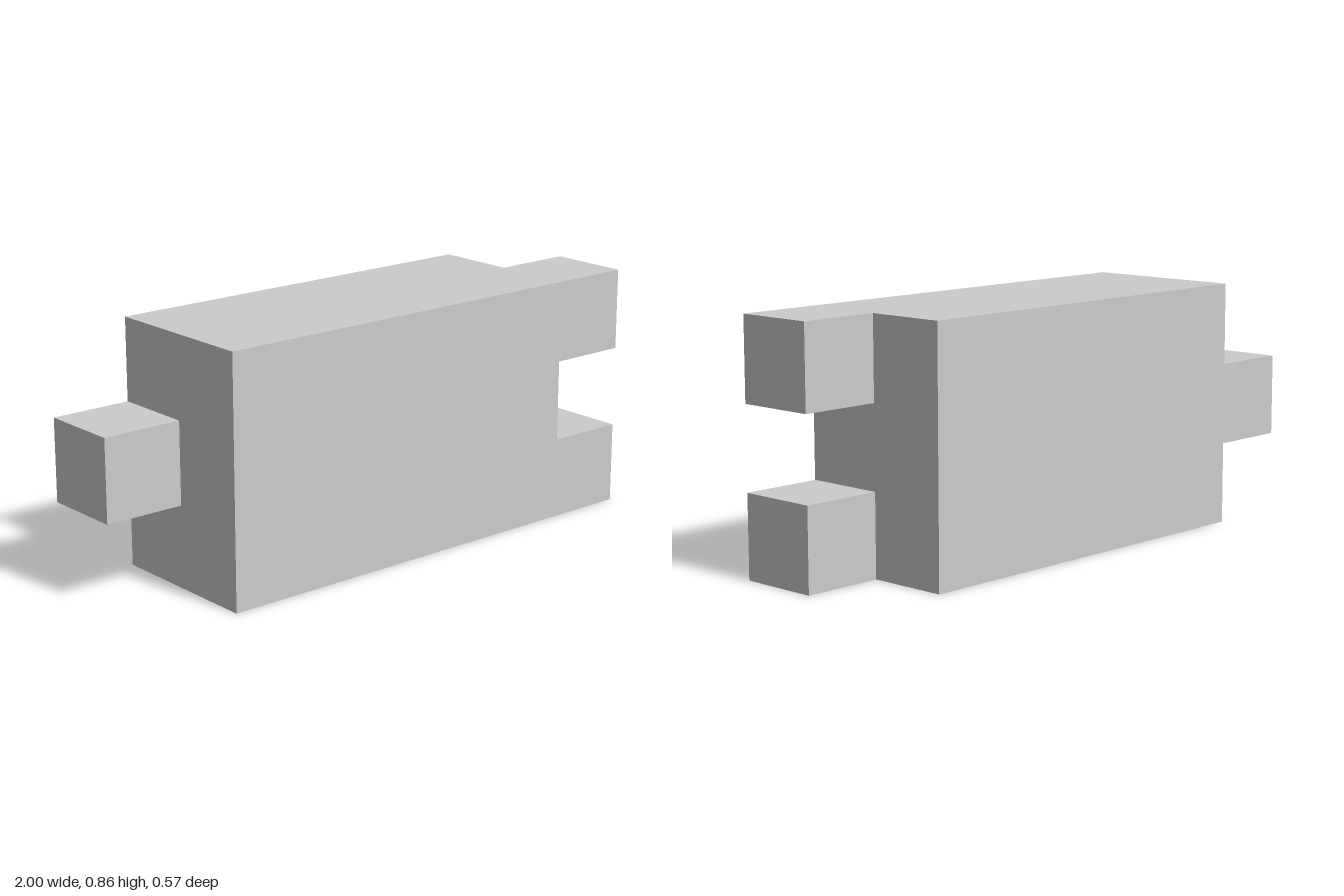
import * as THREE from 'three';

// Everything sits on a grid of cubic units, seven of them along the length
const U = 2 / 7;

export function createModel() {
  const group = new THREE.Group();
  group.name = 'interlockingBlock';
  const material = new THREE.MeshStandardMaterial({ color: 0xcccccc, flatShading: true });

  // Box with size and centre given in grid units
  const addBox = (name, [w, h, d], [x, y, z]) => {
    const mesh = new THREE.Mesh(new THREE.BoxGeometry(w * U, h * U, d * U), material);
    mesh.name = name;
    mesh.position.set(x * U, y * U, z * U);
    group.add(mesh);
  };

  // Main block
  addBox('body', [5, 3, 2], [0, 1.5, 0]);

  // Pair of front prongs on the left end, with a one-unit gap between them
  addBox('lowerProng', [1, 1, 1], [3, 0.5, 0.5]);
  addBox('upperProng', [1, 1, 1], [3, 2.5, 0.5]);

  // Single tongue on the right end, in the back half
  addBox('tongue', [1, 1, 1], [-3, 1.5, -0.5]);

  return group;
}
